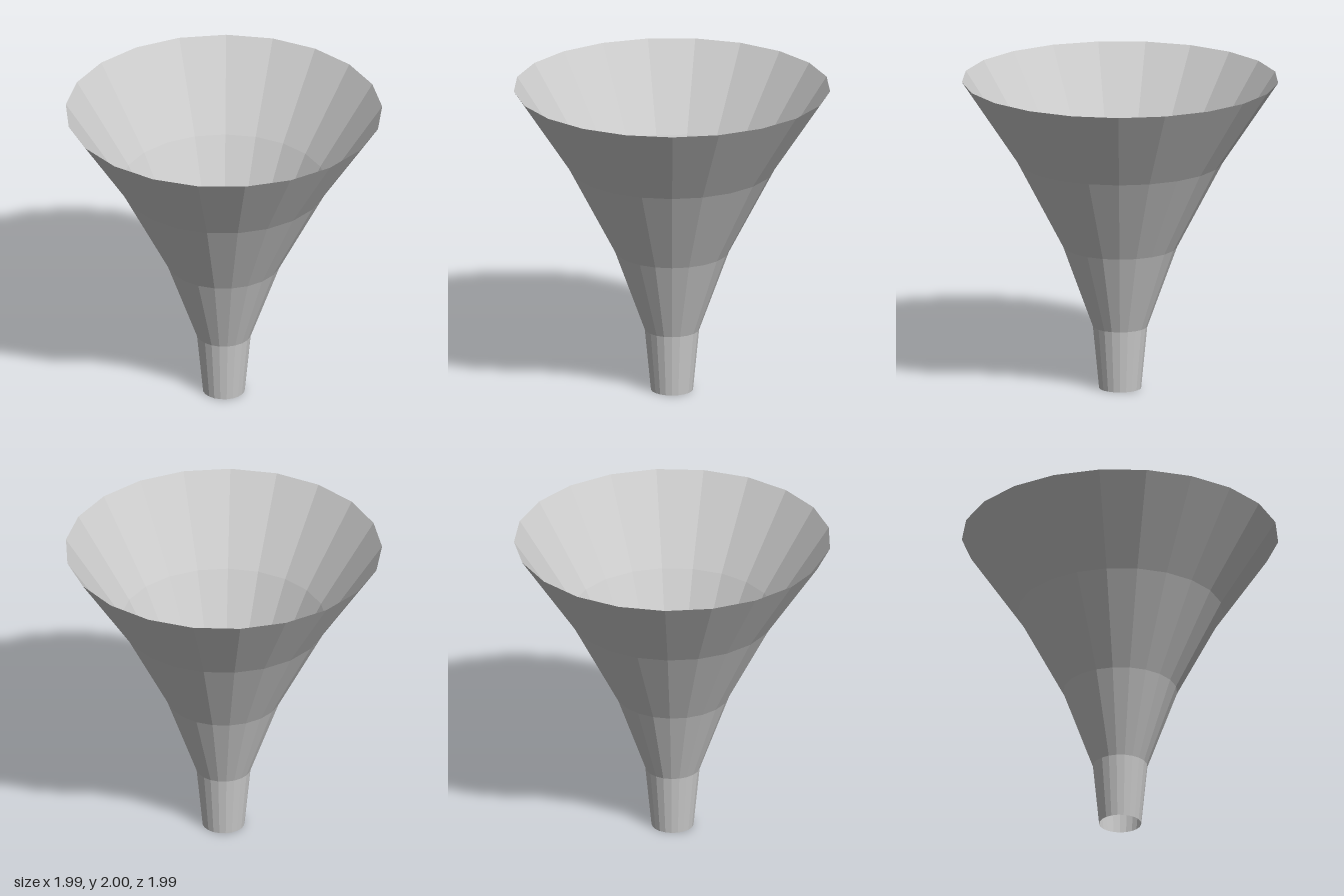
import * as THREE from 'three';

export function createModel() {
  const group = new THREE.Group();
  group.name = 'funnel';

  const sides = 21;
  // Spout, then three flaring bands up to the rim: [radius, height]
  const profile = [[0.133, 0], [0.172, 0.4], [0.36, 0.92], [0.65, 1.475], [1, 2]]
    .map(([r, y]) => new THREE.Vector2(r, y));

  // Thin faceted shell, open at both ends, with a corner at the back
  const shell = new THREE.Mesh(
    new THREE.LatheGeometry(profile, sides, Math.PI),
    new THREE.MeshStandardMaterial({ color: 0xcccccc, flatShading: true, side: THREE.DoubleSide })
  );
  shell.name = 'funnelShell';
  // The odd side count makes the front shallower than the back; recentre
  shell.position.z = (1 - Math.cos(Math.PI / sides)) / 2;
  group.add(shell);

  return group;
}
